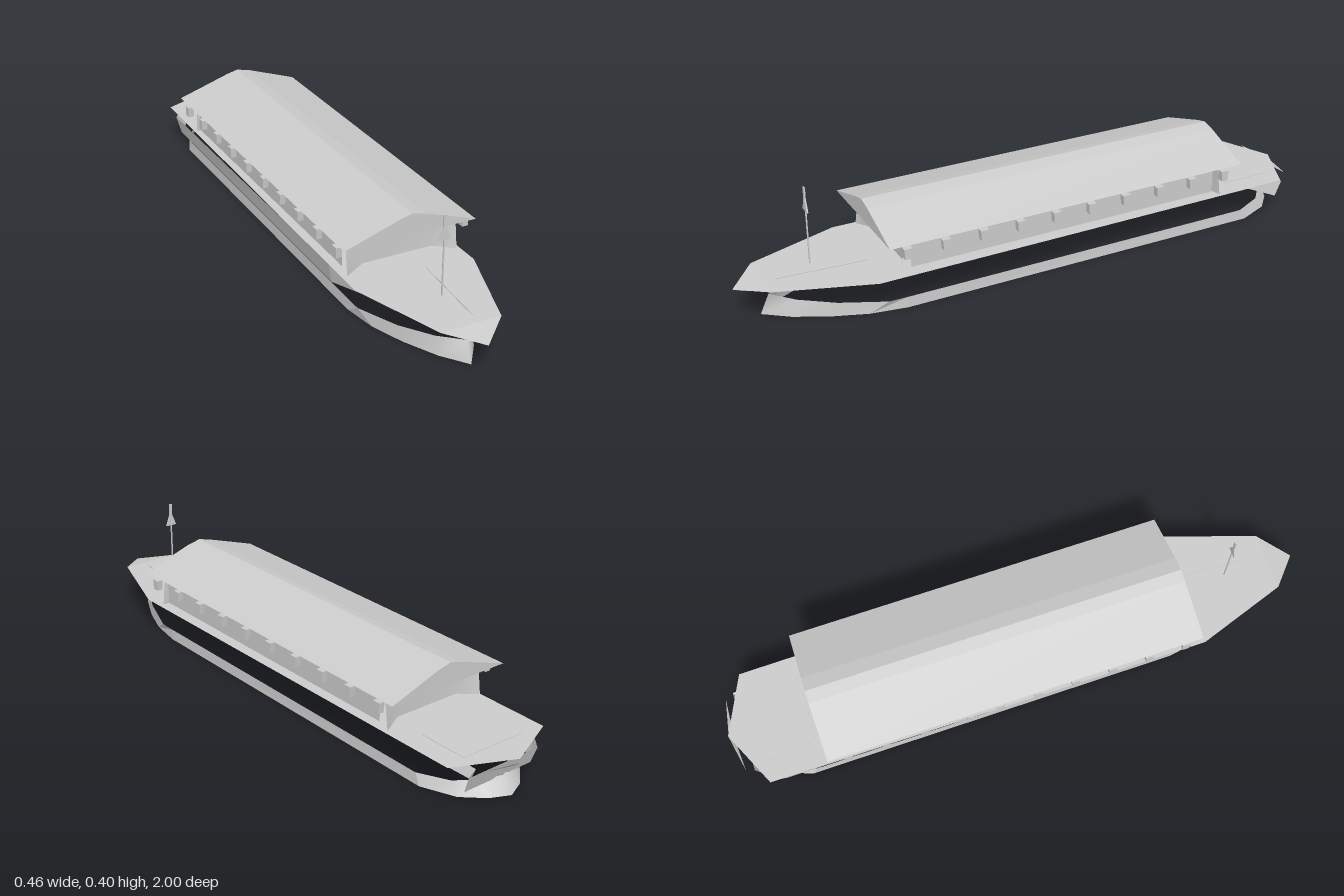
import * as THREE from 'three';

export function createModel() {
  const model = new THREE.Group();
  const grey = new THREE.MeshStandardMaterial({ color: 0xcccccc, side: THREE.DoubleSide });
  grey.name = 'light grey';

  const add = (name, geo, x = 0, y = 0, z = 0) => {
    const mesh = new THREE.Mesh(geo, grey);
    mesh.name = name;
    mesh.position.set(x, y, z);
    model.add(mesh);
    return mesh;
  };

  // Skin between two rows of points; faces look outward when the rows run bow, +x side, stern
  const strip = (low, high, { closed = false, smooth = false } = {}) => {
    const n = low.length, idx = [];
    for (let i = 0; i < (closed ? n : n - 1); i++) {
      const j = (i + 1) % n;
      idx.push(i, j, n + j, i, n + j, n + i);
    }
    let geo = new THREE.BufferGeometry();
    geo.setAttribute('position', new THREE.Float32BufferAttribute([...low, ...high].flat(), 3));
    geo.setIndex(idx);
    if (!smooth) geo = geo.toNonIndexed();
    geo.computeVertexNormals();
    return geo;
  };

  const triangle = (a, b, c) => {
    const geo = new THREE.BufferGeometry();
    geo.setAttribute('position', new THREE.Float32BufferAttribute([a, b, c].flat(), 3));
    geo.computeVertexNormals();
    return geo;
  };

  const shapeOf = (pts, sign = 1) => new THREE.Shape(pts.map(([x, y]) => new THREE.Vector2(x, sign * y)));

  // Lower hull, an open ring of planking: half outline [bottom x, bottom z, top x, top z, top y]
  const bow = [
    [0, 0.92, 0, 0.89, 0.065], [0.06, 0.84, 0.062, 0.82, 0.057],
    [0.115, 0.73, 0.122, 0.71, 0.047], [0.155, 0.62, 0.173, 0.56, 0.037],
  ];
  const side = [bow[3], [0.175, 0.5, 0.174, 0.5, 0.037], [0.175, -0.78, 0.173, -0.76, 0.037]];
  const stern = [side[2], [0.13, -0.89, 0.128, -0.86, 0.04], [0.065, -0.95, 0.064, -0.915, 0.044], [0, -0.98, 0, -0.94, 0.048]];
  const flip = (rows) => rows.map(([a, b, c, ...rest]) => [-a, b, -c, ...rest]).reverse();
  const skin = (name, rows, smooth) => add(name, strip(
    rows.map(([x, z]) => [x, 0, z]),
    rows.map(([, , x, z, y]) => [x, y, z]),
    { smooth },
  ));
  skin('hullBow', [...flip(bow).slice(0, -1), ...bow], true);
  skin('hullSide', side, false);
  skin('hullSide', flip(side), false);
  skin('hullStern', [...stern, ...flip(stern).slice(1)], true);

  // Upper strake [top x, z, bottom x, bottom y]: steep on one side, strongly flared on the other
  const strake = [
    [0.03, 0.88, 0.01, 0.064], [0.05, 0.58, -0.06, 0.06], [0.095, 0.2, -0.02, 0.054],
    [0.153, -0.88, 0.03, 0.042], [0.15, -0.95, 0.145, 0.041],
    [-0.13, -0.95, -0.125, 0.041], [-0.185, -0.88, -0.172, 0.039],
    [-0.19, 0.4, -0.174, 0.039], [-0.06, 0.74, -0.05, 0.06],
  ];
  add('upperStrake', strip(
    strake.map(([, z, x, y]) => [x, y, z * 0.98]),
    strake.map(([x, z]) => [x, 0.11 + 0.014 * z, z]),
    { closed: true },
  ));

  // Deck with a drooping bow tip
  const deck = new THREE.ShapeGeometry(shapeOf([
    [-0.1, 0.91], [-0.205, 0.6], [-0.195, -0.91], [0, -1], [0.195, -0.91], [0.205, 0.6], [0.1, 0.91],
  ], -1));
  deck.rotateX(-Math.PI / 2);
  add('deck', deck, 0, 0.128, 0);
  add('deckTip', triangle([0, 0.11, 1], [0.1, 0.128, 0.91], [-0.1, 0.128, 0.91]));

  // Folded plates under the bow and stern
  for (const s of [-1, 1]) {
    add('bowPlate', triangle([s * 0.08, 0.122, 0.9], [0, 0.11, 1], [0, 0.097, 0.97]));
    add('sternPlate', triangle([s * 0.13, 0.118, -0.975], [0, 0.115, -1], [0, 0.1, -0.985]));
  }

  // Thin rail on the foredeck and hatch on the stern deck
  const rail = add('deckRail', new THREE.BoxGeometry(0.004, 0.003, 0.29), 0.04, 0.129, 0.725);
  rail.rotation.y = -0.07;
  add('sternHatch', new THREE.BoxGeometry(0.24, 0.003, 0.17), 0, 0.128, -0.815);

  // Cabin side walls
  for (const s of [-1, 1]) {
    const wall = add('cabinSideWall', new THREE.PlaneGeometry(1.11, 0.1), s * 0.19, 0.2, -0.065);
    wall.rotation.y = s * Math.PI / 2;
  }

  // Cabin end walls with splayed wings and a soffit strip above
  for (const [s, z0] of [[1, 0.49], [-1, -0.62]]) {
    const plan = [[-0.19, 0.035, 0.132], [-0.12, 0, 0.141], [0.12, 0, 0.141], [0.19, 0.035, 0.132]];
    const low = plan.map(([x, d, y]) => [s * x, y, z0 + s * d]);
    const high = plan.map(([x, d]) => [s * x, 0.232, z0 + s * d * 0.6]);
    add('cabinEndWall', strip(low, high, { smooth: true }));
    add('soffit', strip(high, plan.map(([x]) => [s * x, 0.248, z0 + s * 0.05])));
  }

  // Low gabled roof with a blunt ridge
  const gable = shapeOf([[-0.225, 0.247], [0.225, 0.247], [0.05, 0.307], [0, 0.318], [-0.04, 0.308]]);
  add('roof', new THREE.ExtrudeGeometry(gable, { depth: 1.28, bevelEnabled: false }), 0, 0, -0.71);

  // Small lamps below the eaves, tapering toward the bottom
  const lamp = new THREE.BoxGeometry(0.02, 0.035, 0.028);
  const p = lamp.attributes.position;
  for (let i = 0; i < p.count; i++) if (p.getY(i) < 0) p.setZ(i, p.getZ(i) * 0.8);
  lamp.computeVertexNormals();
  for (const s of [-1, 1]) {
    for (let i = 0; i < 10; i++) add('eaveLamp', lamp, s * 0.218, 0.219, 0.512 - i * 0.1285);
  }

  // Mast with a flat tapered head
  add('mast', new THREE.BoxGeometry(0.004, 0.19, 0.004), 0, 0.232, 0.75);
  const head = shapeOf([
    [-0.02, 0.32], [0.02, 0.32], [0.005, 0.36], [0.005, 0.4], [-0.005, 0.4], [-0.005, 0.36],
  ]);
  add('mastHead', new THREE.ExtrudeGeometry(head, { depth: 0.005, bevelEnabled: false }), 0, 0, 0.748);

  return model;
}
